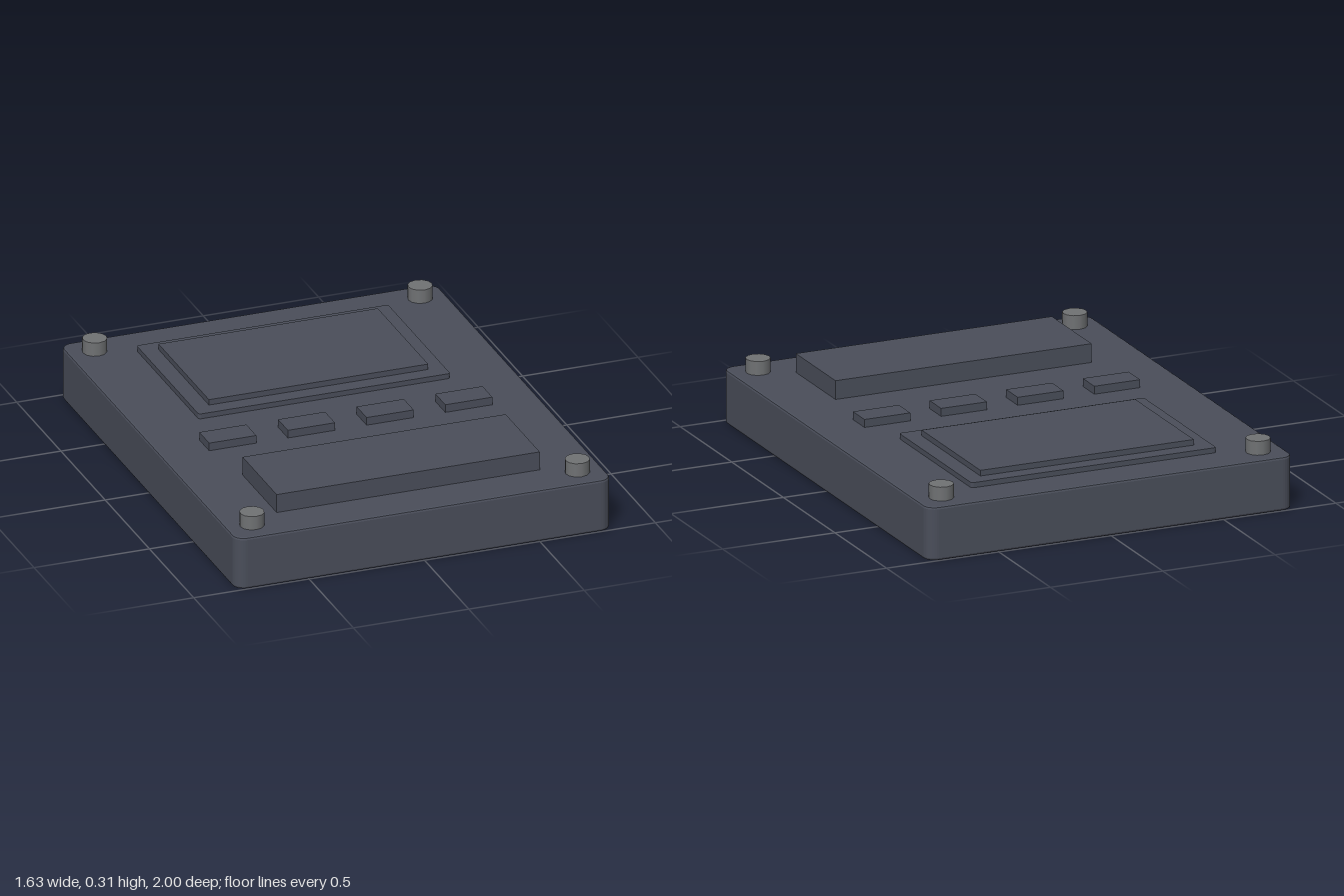
import * as THREE from 'three';

const bodyMat = new THREE.MeshStandardMaterial({ color: 0x4a4e5a });
bodyMat.name = 'slate grey';
const screwMat = new THREE.MeshStandardMaterial({ color: 0x707274 });
screwMat.name = 'screw grey';

// Flat slab with rounded corners, standing on y0; the bevel stays inside the given size
function slab(name, w, d, y0, y1, radius, bevel, segments) {
  const x = w / 2 - bevel, z = d / 2 - bevel, r = radius - bevel;
  const s = new THREE.Shape();
  s.moveTo(x, -z + r);
  s.absarc(x - r, z - r, r, 0, Math.PI / 2);
  s.absarc(-x + r, z - r, r, Math.PI / 2, Math.PI);
  s.absarc(-x + r, -z + r, r, Math.PI, Math.PI * 1.5);
  s.absarc(x - r, -z + r, r, Math.PI * 1.5, Math.PI * 2);
  const geo = new THREE.ExtrudeGeometry(s, {
    depth: y1 - y0 - 2 * bevel, curveSegments: segments,
    bevelEnabled: bevel > 0, bevelThickness: bevel, bevelSize: bevel, bevelSegments: 2,
  });
  geo.rotateX(-Math.PI / 2);
  geo.translate(0, y0 + bevel, 0);
  const mesh = new THREE.Mesh(geo, bodyMat);
  mesh.name = name;
  return mesh;
}

// Plain block seated on the top of the case
function block(name, w, d, y1, x, z) {
  const y0 = 0.22;
  const mesh = new THREE.Mesh(new THREE.BoxGeometry(w, y1 - y0, d), bodyMat);
  mesh.position.set(x, (y0 + y1) / 2, z);
  mesh.name = name;
  return mesh;
}

export function createModel() {
  const model = new THREE.Group();
  model.name = 'controlBox';

  // Case
  model.add(slab('case', 1.63, 2, 0, 0.228, 0.05, 0.01, 4));

  // Screen: bezel and raised panel
  const bezel = slab('screenBezel', 1.09, 0.703, 0.22, 0.25, 0.012, 0, 3);
  bezel.position.z = -0.481;
  model.add(bezel, block('screenPanel', 0.95, 0.57, 0.274, 0, -0.482));

  // Row of four buttons
  for (let i = 0; i < 4; i++) {
    model.add(block('button', 0.204, 0.112, 0.262, (i - 1.5) * 0.341, 0.111));
  }

  // Front block
  model.add(block('frontBlock', 1.14, 0.385, 0.308, 0, 0.623));

  // Corner screws
  const screwGeo = new THREE.CylinderGeometry(0.051, 0.051, 0.067, 12);
  for (const x of [-0.705, 0.705]) {
    for (const z of [-0.888, 0.888]) {
      const screw = new THREE.Mesh(screwGeo, screwMat);
      screw.position.set(x, 0.2535, z);
      screw.name = 'screw';
      model.add(screw);
    }
  }
  return model;
}
